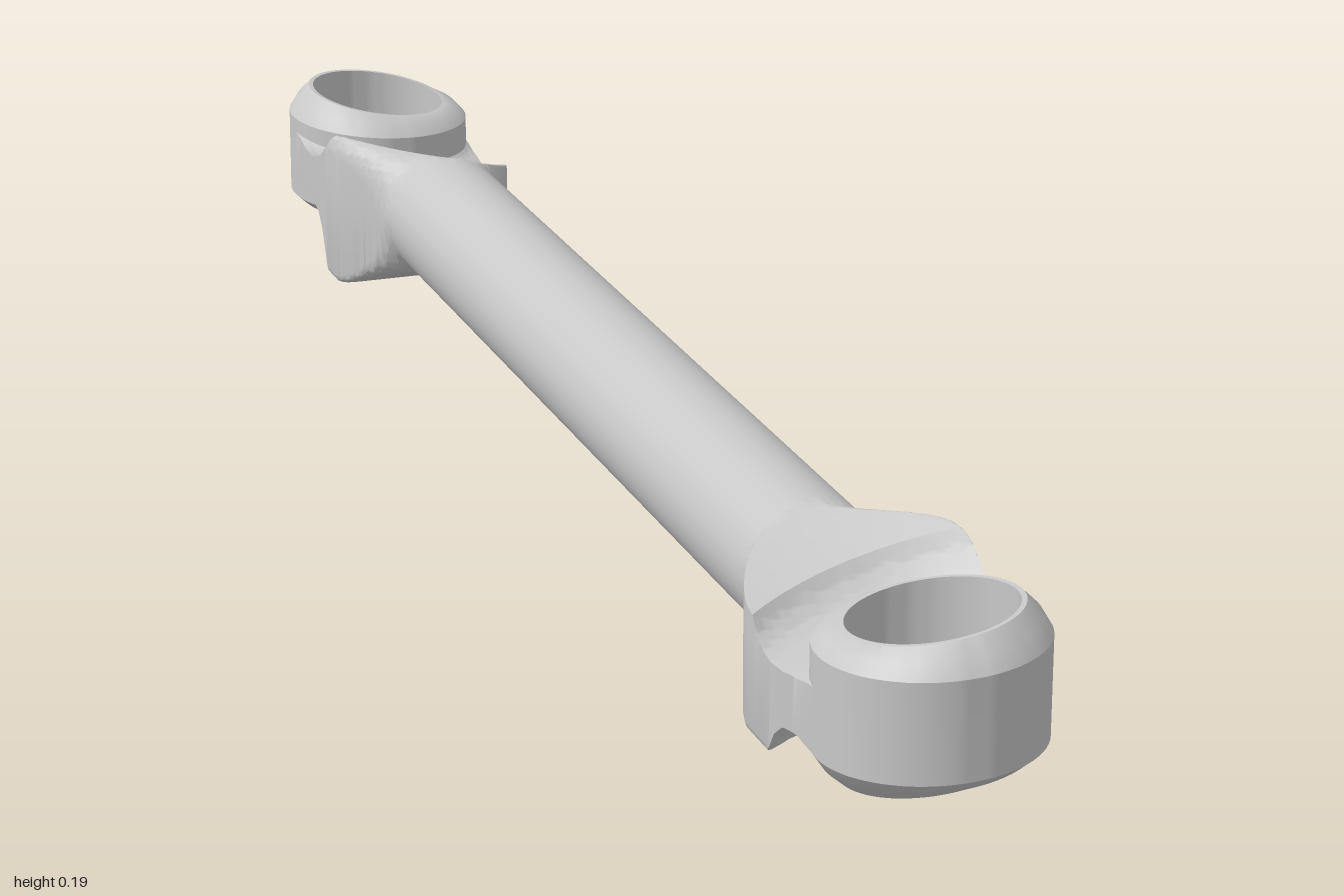
import * as THREE from 'three';
import { toCreasedNormals } from 'three/addons/utils/BufferGeometryUtils.js';

const AXIS_Y = 0.105, ROD_R = 0.073, EYE_Z = 0.89;
const smooth = THREE.MathUtils.smoothstep, lerp = THREE.MathUtils.lerp;

// piecewise linear lookup in [position, value] pairs
function ramp(points, r) {
  if (r <= points[0][0]) return points[0][1];
  for (let i = 1; i < points.length; i++) {
    const [r0, h0] = points[i - 1], [r1, h1] = points[i];
    if (r <= r1) return lerp(h0, h1, (r - r0) / (r1 - r0));
  }
  return points[points.length - 1][1];
}

// height of the clearance grooves by distance from the eye centre
const GROOVE_TOP = [[0.1, 0.034], [0.11, 0.025], [0.12, 0.02], [0.14, 0.018], [0.16, 0.023], [0.176, 0.033], [0.19, 0.047], [0.2, 0.063], [0.29, 0.097], [0.33, 0.13]];
const GROOVE_BOTTOM = [[0.1, -0.044], [0.12, -0.036], [0.14, -0.038], [0.154, -0.048], [0.166, -0.068], [0.18, -0.11], [0.2, -0.2]];

// flared neck: rows are arcs around the eye, cut above and below by tilted grooves
function neckGeometry() {
  const N = 40, rows = 108, ring = 2 * N;
  const width = z => lerp(ROD_R, 0.1095, smooth(z, 0.595, 0.715));
  const pos = [], index = [];
  for (let i = 0; i <= rows; i++) {
    const arc = 0.312 - 0.002 * i;
    for (let j = 0; j < ring; j++) {
      const top = j <= N;
      const u = Math.cos((j / N) * Math.PI);
      let x = 0, z = EYE_Z - arc;
      for (let k = 0; k < 4; k++) {
        x = u * width(z);
        z = EYE_Z - Math.sqrt(Math.max(0, arc * arc - x * x));
      }
      const n = lerp(2, top ? 9 : 30, smooth(z, 0.6, 0.71));
      const H = lerp(ROD_R, top ? 0.084 : 0.105, smooth(z, 0.61, 0.71));
      const r = Math.hypot(x, z - EYE_Z);
      const tilt = lerp(0.13, 0.28, smooth(r, 0.12, 0.2)) * x + 0.08 * (z - EYE_Z);
      let y = H * Math.pow(Math.max(0, 1 - Math.abs(u) ** n), 1 / n);
      y = top ? Math.min(y, tilt + ramp(GROOVE_TOP, r)) : Math.max(-y, tilt + ramp(GROOVE_BOTTOM, r));
      pos.push(x, AXIS_Y + y, z);
      if (i < rows) {
        const a = i * ring + j, b = i * ring + (j + 1) % ring;
        index.push(a, b, a + ring, b, b + ring, a + ring);
      }
    }
  }
  const g = new THREE.BufferGeometry();
  g.setAttribute('position', new THREE.Float32BufferAttribute(pos, 3));
  g.setIndex(index);
  return toCreasedNormals(g, 0.5);
}

// eye ring: straight outer wall and bore, the bevelled rims slanting more than the wall
function eyeGeometry() {
  const profile = [
    [0.08, -0.072], [0.084, -0.073], [0.099, -0.063], [0.11, -0.05],
    [0.11, 0.05], [0.1, 0.064], [0.085, 0.075], [0.08, 0.075], [0.08, -0.072],
  ].map(([x, y]) => new THREE.Vector2(x, y));
  const g = new THREE.LatheGeometry(profile, 72);
  const p = g.attributes.position;
  for (let i = 0; i < p.count; i++) {
    const x = p.getX(i), z = p.getZ(i);
    const slant = lerp(0.14, 0.05, smooth(Math.hypot(x, z), 0.085, 0.11));
    p.setY(i, p.getY(i) + slant * (x + 0.6 * z));
  }
  return toCreasedNormals(g, 0.5);
}

export function createModel() {
  const metal = new THREE.MeshStandardMaterial({ color: 0xc8c8c8 });
  metal.name = 'light grey metal';
  const model = new THREE.Group();
  model.name = 'linkRod';

  const rodGeo = new THREE.CylinderGeometry(ROD_R, ROD_R, 1.18, 80, 1, true);
  rodGeo.rotateX(Math.PI / 2);
  const rod = new THREE.Mesh(rodGeo, metal);
  rod.name = 'rod';
  rod.position.y = AXIS_Y;
  model.add(rod);

  // the same end, turned half a circle for the back
  const neckGeo = neckGeometry(), eyeGeo = eyeGeometry();
  for (const [name, turn] of [['frontEnd', 0], ['backEnd', Math.PI]]) {
    const end = new THREE.Group();
    end.name = name;
    const neck = new THREE.Mesh(neckGeo, metal);
    neck.name = 'neck';
    const eye = new THREE.Mesh(eyeGeo, metal);
    eye.name = 'eyeRing';
    eye.position.set(0, AXIS_Y, EYE_Z);
    end.add(neck, eye);
    end.rotation.y = turn;
    model.add(end);
  }
  return model;
}
